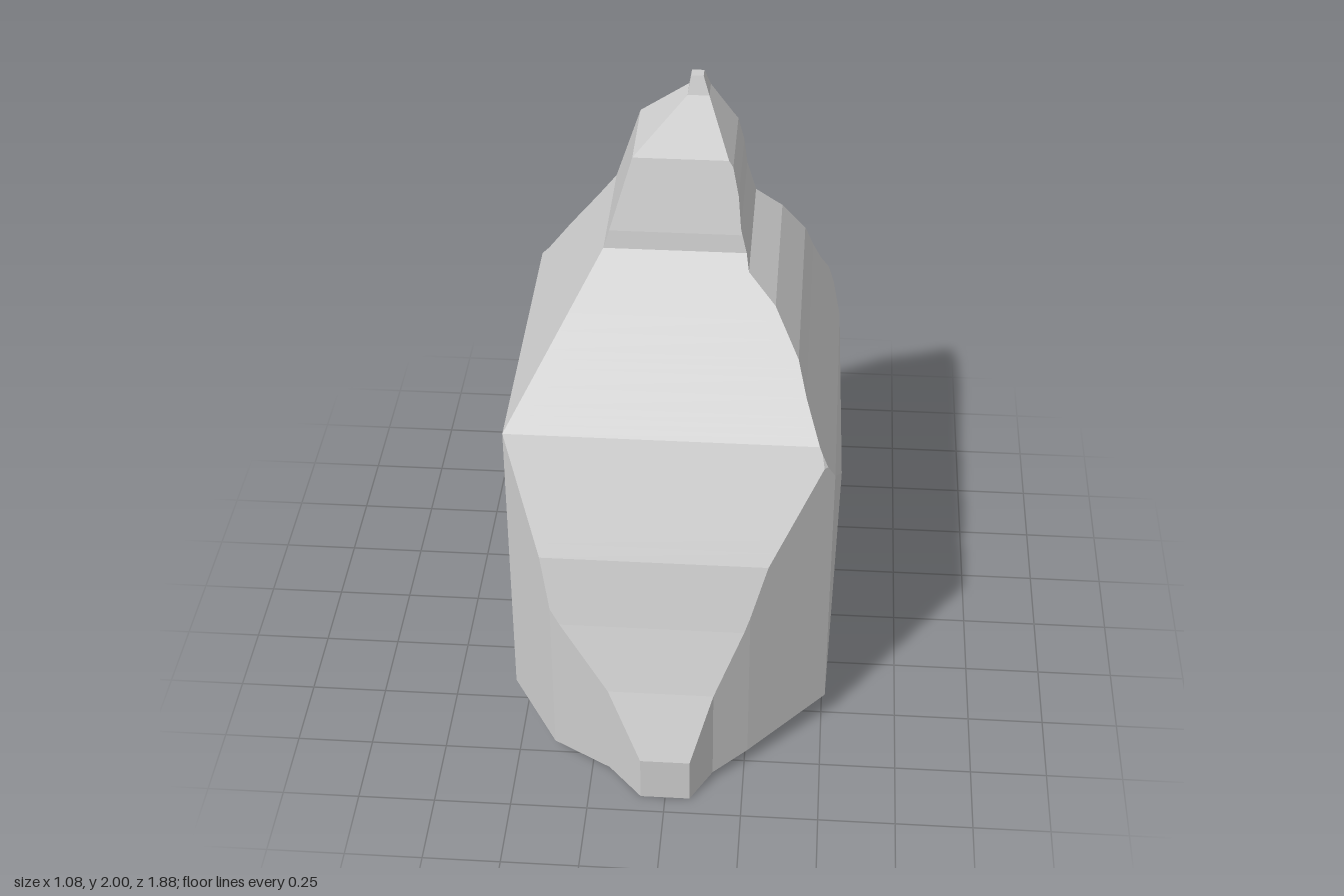
import * as THREE from 'three';

// Piecewise-linear lookup through [key, value] points sorted by key, clamped at the ends
function lookup(points, k) {
  if (k <= points[0][0]) return points[0][1];
  for (let i = 1; i < points.length; i++) {
    const [k0, v0] = points[i - 1], [k1, v1] = points[i];
    if (k <= k1) return v0 + (v1 - v0) * (k - k0) / (k1 - k0);
  }
  return points[points.length - 1][1];
}
const inverse = (points) => points.map(([a, b]) => [b, a]).sort((p, q) => p[0] - q[0]);

// Outline of the rock in plan, as [x, z] chains from left to right
const frontLeft = [[-0.54, 0.51], [-0.38, 0.75], [-0.19, 0.84], [-0.08, 0.935]];
const frontRight = [[0.08, 0.935], [0.15, 0.84], [0.26, 0.75], [0.51, 0.51], [0.535, 0.2]];
const backLeft = [[-0.54, -0.6], [-0.52, -0.61], [-0.26, -0.69], [-0.05, -0.83], [0.02, -0.94]];
const backRight = [[0.06, -0.94], [0.12, -0.82], [0.2, -0.73], [0.48, -0.56], [0.51, -0.4], [0.535, 0.2]];

// Slopes on the four sides, as [y, offset]
const frontSlope = [[0, 0.935], [0.16, 0.935], [0.37, 0.84], [0.58, 0.765], [0.8, 0.7], [1.14, 0.51],
  [1.3, 0.32], [1.49, 0.09], [1.54, 0.03], [1.6, 0.02], [1.83, -0.05], [1.94, -0.27], [2, -0.29]];
const backSlope = [[0, -0.94], [0.04, -0.94], [0.19, -0.83], [0.4, -0.745], [0.6, -0.69], [1.05, -0.605],
  [1.18, -0.525], [1.3, -0.5], [1.45, -0.45], [1.83, -0.36], [1.94, -0.35], [2, -0.33]];
const leftSlope = [[0, -0.54], [1.14, -0.54], [1.54, -0.26], [1.83, -0.17], [1.94, -0.01], [2, 0]];
const rightSlope = [[0, 0.51], [0.09, 0.51], [0.8, 0.535], [1.03, 0.51], [1.24, 0.41], [1.32, 0.38],
  [1.43, 0.3], [1.5, 0.21], [1.62, 0.18], [1.72, 0.17], [1.81, 0.15], [1.94, 0.06], [2, 0.04]];

// Underside height along z
const underside = [[-0.94, 0], [-0.83, 0.03], [-0.6, 0.07], [-0.36, 0.09], [0.51, 0.09], [0.75, 0.05],
  [0.84, 0.03], [0.935, 0]];

// One side of a level section: the slope line in the middle, the plan outline at both ends
function sidePoints(leftChain, rightChain, z, xl, xr, pick) {
  const clamp = THREE.MathUtils.clamp;
  const a = clamp(lookup(inverse(leftChain), z), xl, xr);
  const b = clamp(lookup(inverse(rightChain), z), a, xr);
  const plan = [...leftChain, ...rightChain];
  const xs = [xl, ...leftChain.map((p) => clamp(p[0], xl, a)), a,
    b, ...rightChain.map((p) => clamp(p[0], b, xr)), xr];
  return xs.map((x) => [x, pick(z, lookup(plan, x))]);
}

// Closed section of the rock at height y
function section(y) {
  const xl = lookup(leftSlope, y), xr = lookup(rightSlope, y);
  const front = sidePoints(frontLeft, frontRight, lookup(frontSlope, y), xl, xr, Math.min);
  const back = sidePoints(backLeft, backRight, lookup(backSlope, y), xl, xr, Math.max);
  return [...front, ...back.reverse()].map(([x, z]) =>
    new THREE.Vector3(x, Math.max(y, lookup(underside, z)), z));
}

// Heights where any slope bends or passes a bend of the plan, plus even steps between
function levels() {
  const ys = [];
  for (const s of [frontSlope, backSlope, leftSlope, rightSlope]) ys.push(...s.map((p) => p[0]));
  const crossings = (slope, values) => values.forEach((v) => ys.push(lookup(inverse(slope), v)));
  crossings(frontSlope, [...frontLeft, ...frontRight].map((p) => p[1]));
  crossings(backSlope, [...backLeft, ...backRight].map((p) => p[1]));
  for (let i = 0; i <= 50; i++) ys.push(i * 0.04);
  ys.sort((a, b) => a - b);
  return ys.filter((y, i) => i === 0 || y - ys[i - 1] > 1e-4);
}

function rockGeometry() {
  const positions = [];
  const triangle = (a, b, c) => {
    const area = b.clone().sub(a).cross(c.clone().sub(a)).length();
    if (area > 1e-8) for (const p of [a, b, c]) positions.push(p.x, p.y, p.z);
  };
  const quad = (a, b, c, d) => { triangle(a, b, c); triangle(a, c, d); };

  // Walls and slopes
  const rings = levels().map(section);
  for (let r = 1; r < rings.length; r++) {
    const low = rings[r - 1], high = rings[r], n = low.length;
    for (let i = 0; i < n; i++) {
      const j = (i + 1) % n;
      quad(low[i], low[j], high[j], high[i]);
    }
  }

  // Flat tip
  const tip = rings[rings.length - 1];
  for (let i = 1; i < tip.length - 1; i++) triangle(tip[0], tip[i], tip[i + 1]);

  // Underside, in strips across x
  const leftEdge = inverse([...backLeft, ...frontLeft]);
  const rightEdge = inverse([...backRight.slice(0, -1), ...frontRight]);
  const zs = [...leftEdge, ...rightEdge, ...underside].map((p) => p[0]).sort((a, b) => a - b);
  const rows = zs.map((z) => {
    const y = lookup(underside, z);
    return [new THREE.Vector3(lookup(leftEdge, z), y, z),
      new THREE.Vector3(Math.min(0.51, lookup(rightEdge, z)), y, z)];
  });
  for (let i = 1; i < rows.length; i++) quad(rows[i - 1][0], rows[i - 1][1], rows[i][1], rows[i][0]);

  const geometry = new THREE.BufferGeometry();
  geometry.setAttribute('position', new THREE.Float32BufferAttribute(positions, 3));
  geometry.computeVertexNormals();
  return geometry;
}

export function createModel() {
  const stone = new THREE.MeshStandardMaterial({ color: 0xcccccc });
  stone.name = 'paleStone';
  const rock = new THREE.Mesh(rockGeometry(), stone);
  rock.name = 'rock';
  const model = new THREE.Group();
  model.name = 'facetedRock';
  model.add(rock);
  return model;
}
